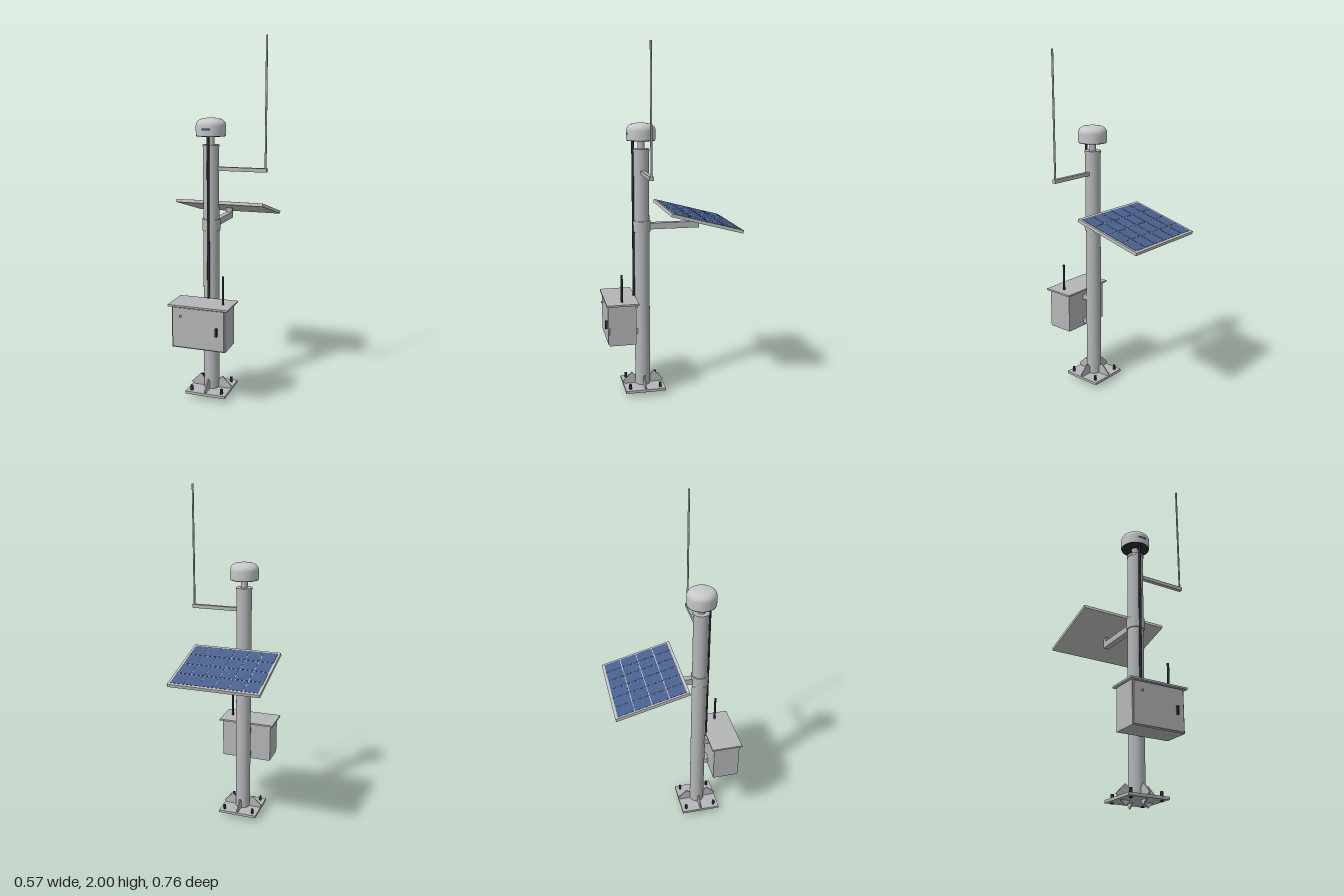
import * as THREE from 'three';

const PX = -0.03, PZ = 0.148; // mast axis

export function createModel() {
  const model = new THREE.Group();
  model.name = 'monitoringStation';

  const material = (name, color) => {
    const m = new THREE.MeshStandardMaterial({ color });
    m.name = name;
    return m;
  };
  const steel = material('galvanisedSteel', 0xb4b6b8);
  const frameGrey = material('panelFrame', 0xc2c3c0);
  const shell = material('receiverShell', 0xc6c8c9);
  const dark = material('blackPlastic', 0x2b2c2e);
  const cellBlue = material('solarCell', 0x496190);
  const labelBlue = material('statusBlue', 0x2f5f9e);

  const add = (name, geometry, mat, x, y, z, parent = model) => {
    const mesh = new THREE.Mesh(geometry, mat);
    mesh.name = name;
    mesh.position.set(x, y, z);
    parent.add(mesh);
    return mesh;
  };
  // box given by its extents
  const box = (name, mat, x0, x1, y0, y1, z0, z1, parent) =>
    add(name, new THREE.BoxGeometry(x1 - x0, y1 - y0, z1 - z0), mat,
      (x0 + x1) / 2, (y0 + y1) / 2, (z0 + z1) / 2, parent);
  // upright cylinder given by its radius and heights
  const post = (name, mat, r, y0, y1, x = PX, z = PZ, sides = 40) =>
    add(name, new THREE.CylinderGeometry(r, r, y1 - y0, sides), mat, x, (y0 + y1) / 2, z);

  // base plate with anchor bolts and diamond gussets
  box('basePlate', steel, PX - 0.117, PX + 0.117, 0.027, 0.042, PZ - 0.117, PZ + 0.117);
  for (const sx of [-1, 1]) {
    for (const sz of [-1, 1]) {
      const x = PX + sx * 0.089, z = PZ + sz * 0.089;
      post('anchorBolt', dark, 0.008, 0.02, 0.07, x, z, 12);
    }
  }
  for (let i = 0; i < 4; i++) {
    const arm = new THREE.Group();
    arm.name = 'gusset';
    arm.position.set(PX, 0.055, PZ);
    arm.rotation.y = i * Math.PI / 2;
    const plate = add('gussetPlate', new THREE.BoxGeometry(0.0775, 0.0775, 0.007), steel, 0.066, 0, 0, arm);
    plate.rotation.z = Math.PI / 4;
    model.add(arm);
  }

  // mast
  post('mast', steel, 0.044, 0.035, 1.425);
  post('mastCap', steel, 0.047, 1.42, 1.433);
  post('receiverNeck', steel, 0.02, 1.433, 1.484);
  post('signalCable', dark, 0.0075, 0.56, 1.48, PX, PZ + 0.048, 12);

  // domed receiver
  const side = [[0.079, 1.482], [0.082, 1.486], [0.082, 1.535]];
  for (let i = 1; i <= 8; i++) {
    const a = i / 8 * Math.PI / 2;
    side.push([0.04 + 0.042 * Math.cos(a), 1.535 + 0.038 * Math.sin(a)]);
  }
  side.push([0.02, 1.577], [0, 1.578]);
  add('receiverDome', new THREE.LatheGeometry(side.map(p => new THREE.Vector2(...p)), 48), shell, PX, 0, PZ);
  post('receiverUnderside', dark, 0.0795, 1.479, 1.484, PX, PZ, 48);
  const plateArc = (name, mat, r, half, y, h) => add(name,
    new THREE.CylinderGeometry(r, r, h, 10, 1, true, -half, half * 2), mat, PX, y, PZ);
  plateArc('receiverLabel', dark, 0.0826, 0.3, 1.518, 0.012);
  plateArc('receiverLight', labelBlue, 0.083, 0.25, 1.518, 0.007);

  // whip aerial on its side arm
  box('aerialArm', steel, PX + 0.03, 0.286, 1.293, 1.314, PZ - 0.011, PZ + 0.011);
  post('whipAerial', steel, 0.0055, 1.31, 2, 0.277, PZ, 12);

  // solar panel bracket
  post('panelCollar', steel, 0.05, 0.962, 1.026);
  box('panelArm', steel, PX - 0.018, PX + 0.018, 0.974, 1.01, -0.185, PZ - 0.035);
  box('panelUpright', steel, PX - 0.018, PX + 0.018, 0.974, 1.035, -0.185, -0.16);

  // tilted solar panel
  const panel = new THREE.Group();
  panel.name = 'solarPanel';
  panel.position.set(PX, 1.041, -0.175);
  panel.rotation.x = -THREE.MathUtils.degToRad(15);
  model.add(panel);
  add('panelFrame', new THREE.BoxGeometry(0.517, 0.018, 0.42), frameGrey, 0, 0, 0, panel);
  const cell = new THREE.BoxGeometry(0.0785, 0.002, 0.0945);
  for (let c = 0; c < 6; c++) {
    for (let r = 0; r < 4; r++) {
      add('solarCell', cell, cellBlue, (c - 2.5) * 0.0825, 0.0095, (r - 1.5) * 0.0985, panel);
    }
  }

  // equipment cabinet
  box('cabinet', steel, -0.183, 0.123, 0.34, 0.574, 0.209, 0.36);
  box('cabinetDoor', steel, -0.177, 0.117, 0.346, 0.568, 0.36, 0.367);
  box('cabinetRoof', steel, -0.2, 0.14, 0.573, 0.583, 0.193, 0.376);
  box('doorHandle', dark, 0.071, 0.081, 0.43, 0.476, 0.366, 0.38);
  const lock = add('doorLock', new THREE.CylinderGeometry(0.006, 0.006, 0.012, 16), steel, -0.13, 0.522, 0.371);
  lock.rotation.x = Math.PI / 2;
  post('cabinetAerial', dark, 0.0065, 0.58, 0.74, 0.085, 0.284, 12);
  for (const y of [0.373, 0.531]) {
    box('cabinetBracket', steel, PX - 0.03, PX + 0.03, y - 0.016, y + 0.016, 0.175, 0.212);
  }

  return model;
}
